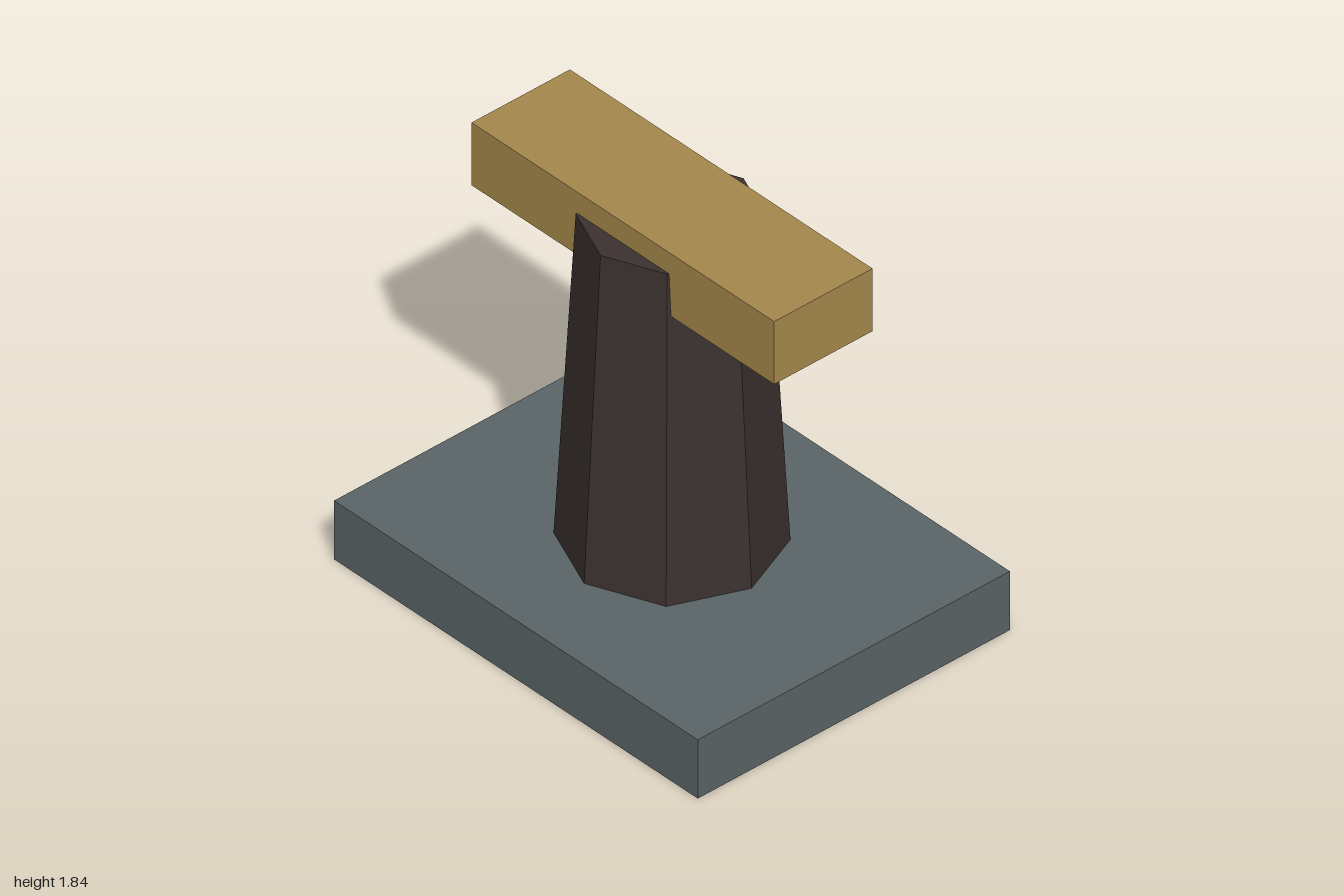
import * as THREE from 'three';

export function createModel() {
  const model = new THREE.Group();
  model.name = 'pedestal';

  const material = (name, color) => {
    const m = new THREE.MeshStandardMaterial({ color });
    m.name = name;
    return m;
  };
  const slate = material('slate grey', 0x5a6466);
  const darkIron = material('dark brown', 0x3b3130);
  const ochre = material('ochre', 0xa5884c);

  // Adds a mesh whose underside sits at the given height
  const add = (name, geometry, mat, bottom, height) => {
    const mesh = new THREE.Mesh(geometry, mat);
    mesh.name = name;
    mesh.position.y = bottom + height / 2;
    model.add(mesh);
  };

  // Rectangular base slab
  add('base', new THREE.BoxGeometry(2, 0.27, 1.555), slate, 0, 0.27);

  // Tapered eight-sided column, with corners on the x and z axes
  const column = new THREE.CylinderGeometry(0.356, 0.438, 1.47, 8).toNonIndexed();
  column.computeVertexNormals();
  add('column', column, darkIron, 0.267, 1.47);

  // Crossbar set through the top of the column
  add('crossbar', new THREE.BoxGeometry(1.664, 0.288, 0.49), ochre, 1.547, 0.288);

  return model;
}
